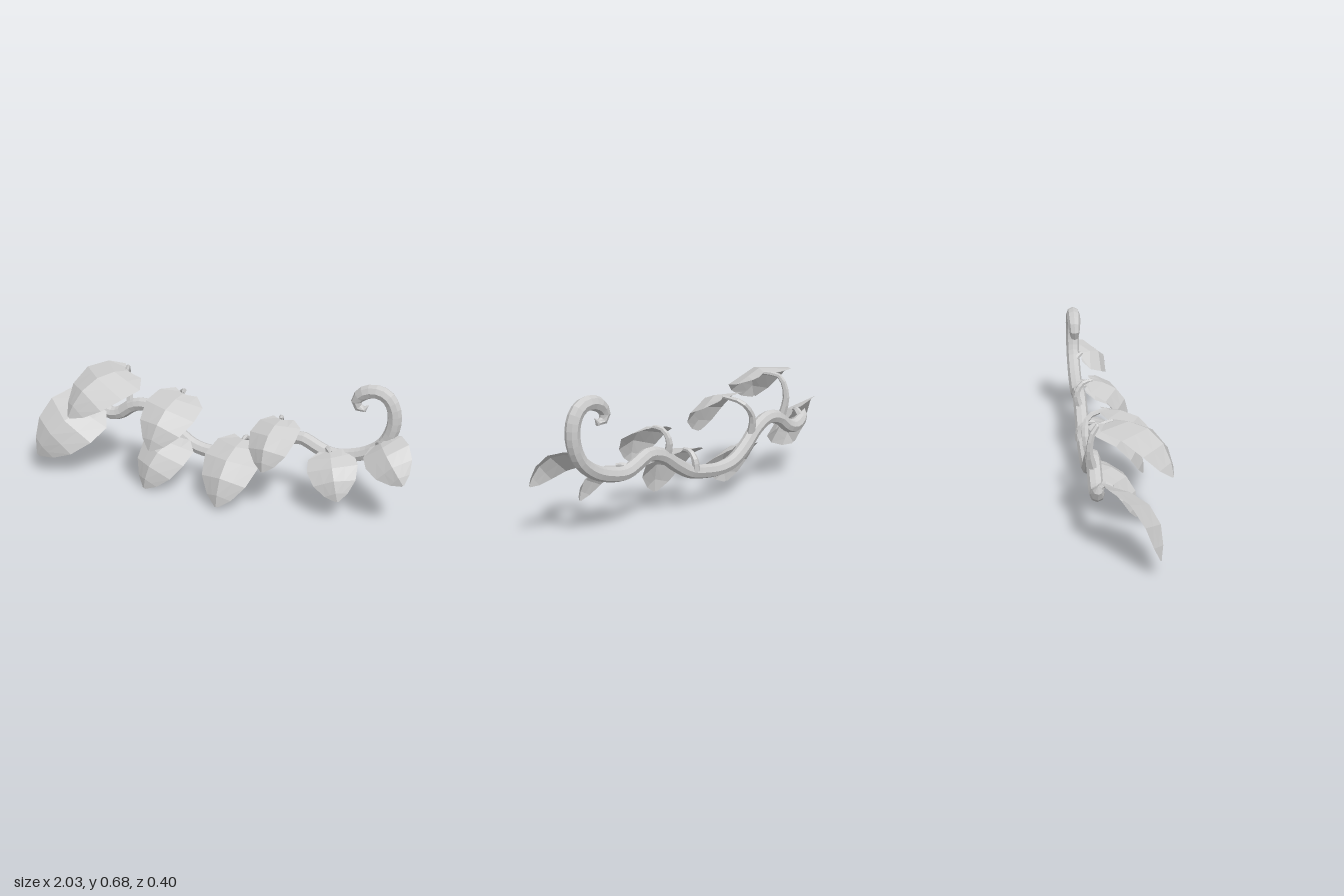
import * as THREE from 'three';

const stone = new THREE.MeshStandardMaterial({ color: 0xcccccc, flatShading: true, side: THREE.DoubleSide });
stone.name = 'light grey';

const vec = (p) => new THREE.Vector3(...p);

// Tube along a smooth path whose radius follows taper(t)
function taperedTube(name, points, radius, segments, sides, taper) {
  const path = new THREE.CatmullRomCurve3(points.map(vec), false, 'centripetal');
  const geo = new THREE.TubeGeometry(path, segments, radius, sides, false);
  const pos = geo.attributes.position, v = new THREE.Vector3();
  for (let i = 0; i < pos.count; i++) {
    const t = Math.floor(i / (sides + 1)) / segments;
    const centre = path.getPointAt(t);
    v.fromBufferAttribute(pos, i).sub(centre).multiplyScalar(taper(t)).add(centre);
    pos.setXYZ(i, v.x, v.y, v.z);
  }
  geo.computeVertexNormals();
  const mesh = new THREE.Mesh(geo, stone);
  mesh.name = name;
  return mesh;
}

// Heart-shaped outline rows: [position on vein, position on margin, half width]
const ROWS = [[0, -0.07, 0.23], [0.16, 0.07, 0.46], [0.4, 0.35, 0.51],
  [0.66, 0.65, 0.42], [0.87, 0.87, 0.23], [1, 1, 0.03]];
const COLS = [-1, -0.5, 0, 0.5, 1];

// Arched leaf blade, folded along its vein more strongly towards the tip
function leafBlade(base, tip, across, width) {
  const a = vec(base), axis = vec(tip).sub(a), length = axis.length();
  const dir = axis.clone().normalize();
  const side = vec(across);
  side.addScaledVector(dir, -side.dot(dir)).normalize();
  const up = new THREE.Vector3().crossVectors(dir, side);
  const positions = [], index = [];
  for (const [vein, margin, half] of ROWS) {
    for (const u of COLS) {
      const t = THREE.MathUtils.lerp(vein, margin, Math.abs(u));
      const x = u * half * width;
      const fold = 0.22 + 0.3 * Math.max(t, 0);
      const h = 0.97 * length * Math.max(t, -0.03) * (1 - t) - fold * Math.abs(x);
      const p = a.clone().addScaledVector(axis, t).addScaledVector(side, x).addScaledVector(up, h);
      positions.push(p.x, p.y, p.z);
    }
  }
  const n = COLS.length;
  for (let r = 0; r < ROWS.length - 1; r++) {
    for (let c = 0; c < n - 1; c++) {
      const i = r * n + c;
      index.push(i, i + n, i + 1, i + 1, i + n, i + n + 1);
    }
  }
  const geo = new THREE.BufferGeometry();
  geo.setAttribute('position', new THREE.Float32BufferAttribute(positions, 3));
  geo.setIndex(index);
  geo.computeVertexNormals();
  const mesh = new THREE.Mesh(geo, stone);
  mesh.name = 'blade';
  return mesh;
}

// base, tip, across direction, width, and stem points leading up to the base
const LEAVES = [
  { base: [-0.75, 0.365, -0.08], tip: [-0.985, 0.108, 0.115], across: [0.25, -0.17, 0.08], width: 0.33,
    stem: [[-0.73, 0.33, -0.15], [-0.73, 0.37, -0.12]] },
  { base: [-0.525, 0.595, -0.06], tip: [-0.74, 0.4, 0.2], across: [0.8, -0.2, 0.46], width: 0.335,
    stem: [[-0.56, 0.35, -0.15], [-0.575, 0.48, -0.172], [-0.56, 0.58, -0.14]] },
  { base: [-0.21, 0.515, -0.06], tip: [-0.29, 0.285, 0.185], across: [1, -0.2, 0.12], width: 0.285,
    stem: [[-0.32, 0.3, -0.15], [-0.31, 0.41, -0.172], [-0.25, 0.49, -0.155]] },
  { base: [-0.265, 0.25, -0.1], tip: [-0.38, 0.008, 0.075], across: [1, -0.2, 0.33], width: 0.285,
    stem: [[-0.29, 0.27, -0.15], [-0.28, 0.26, -0.12]] },
  { base: [0.11, 0.302, -0.09], tip: [0.065, 0.025, 0.16], across: [1, -0.05, 0.12], width: 0.3,
    stem: [[0.105, 0.205, -0.172], [0.11, 0.26, -0.17], [0.11, 0.3, -0.135]] },
  { base: [0.315, 0.45, -0.085], tip: [0.287, 0.235, 0.1], across: [1, 0.05, 0.15], width: 0.255,
    stem: [[0.285, 0.3, -0.15], [0.288, 0.39, -0.168], [0.3, 0.442, -0.135]] },
  { base: [0.575, 0.31, -0.1], tip: [0.67, 0.125, 0.055], across: [1, 0.18, -0.35], width: 0.25,
    stem: [[0.53, 0.29, -0.15], [0.555, 0.31, -0.13]] },
  { base: [0.83, 0.405, -0.1], tip: [0.99, 0.265, 0.035], across: [0.21, 0.14, -0.1], width: 0.235,
    stem: [[0.8, 0.35, -0.15], [0.815, 0.39, -0.125]] },
];

// Vine centre line, ending in a curl
const VINE = [[-0.76, 0.38], [-0.738, 0.335], [-0.68, 0.3], [-0.62, 0.31], [-0.54, 0.365], [-0.46, 0.38],
  [-0.37, 0.34], [-0.28, 0.255], [-0.19, 0.195], [-0.09, 0.175], [0.02, 0.182], [0.13, 0.205],
  [0.23, 0.26], [0.32, 0.32], [0.41, 0.34], [0.48, 0.31], [0.56, 0.28], [0.66, 0.29],
  [0.76, 0.325], [0.84, 0.39], [0.88, 0.49], [0.873, 0.58], [0.835, 0.635], [0.775, 0.651],
  [0.715, 0.63], [0.685, 0.588], [0.697, 0.555], [0.728, 0.55], [0.748, 0.575]];

export function createModel() {
  const group = new THREE.Group();
  group.name = 'leafyVine';

  group.add(taperedTube('vine', VINE.map(([x, y]) => [x, y, -0.149]), 0.036, 72, 8,
    (t) => Math.min(1, Math.sqrt(t * 30), Math.sqrt((1 - t) * 14))));

  for (const { base, tip, across, width, stem } of LEAVES) {
    const leaf = new THREE.Group();
    leaf.name = 'leaf';
    leaf.add(leafBlade(base, tip, across, width));
    leaf.add(taperedTube('stem', [...stem, base], 0.022, 8, 6, (t) => 1 - 0.55 * t));
    group.add(leaf);
  }
  return group;
}
